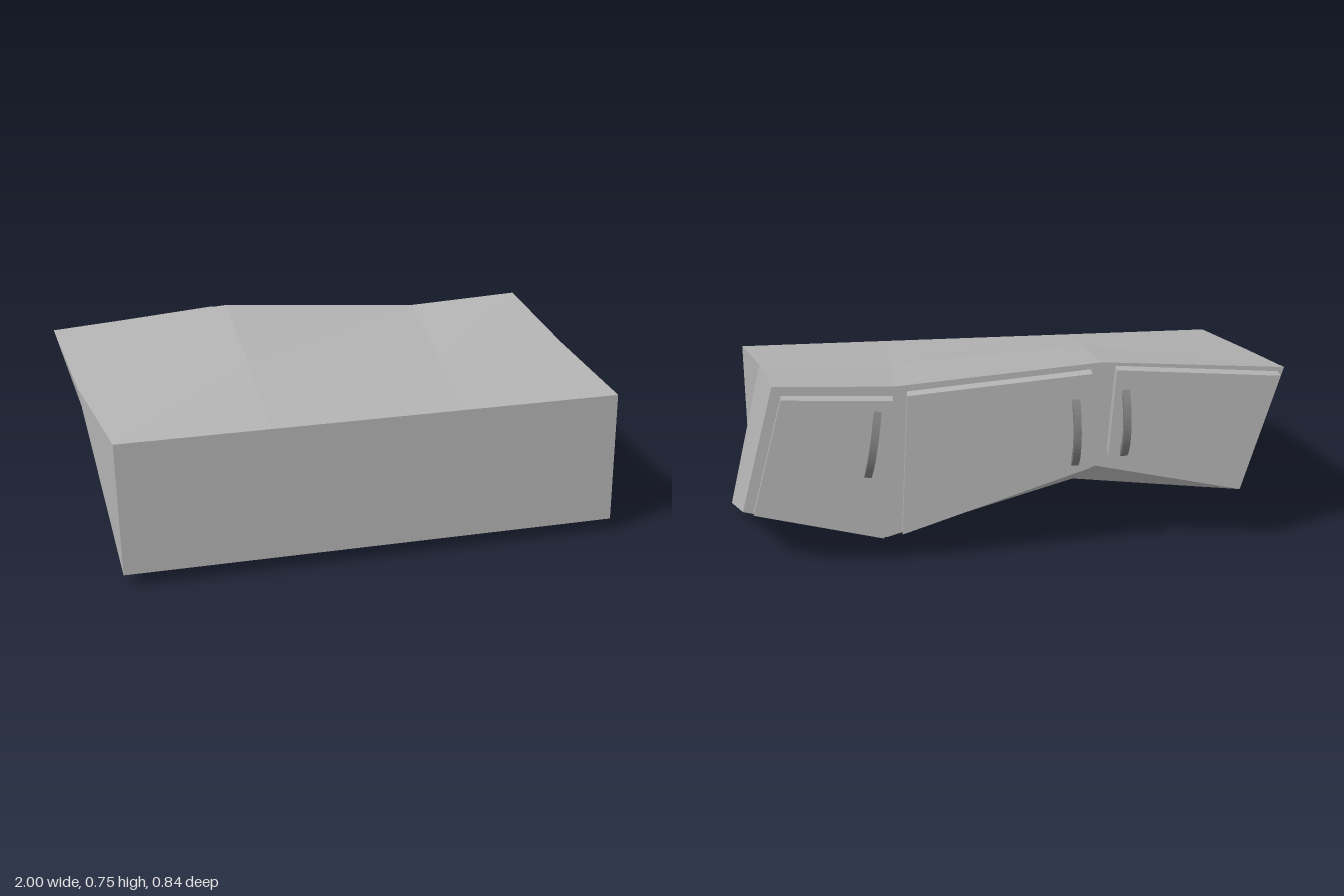
import * as THREE from 'three';

const grey = new THREE.MeshStandardMaterial({ color: 0xb2b2b2 });
grey.name = 'cabinet grey';
const darkGrey = new THREE.MeshStandardMaterial({ color: 0x7c7c7c });
darkGrey.name = 'handle grey';

// Warped case: rows of top and bottom points at front, middle and back depth
function caseGeometry() {
  const depths = [0.42, 0.05, -0.32];
  const rows = (table) => table.map((row, r) => row.map(([x, y]) => [x, y, depths[r]]));
  const top = rows([
    [[-0.875, 0.55], [-0.33, 0.55], [0.38, 0.55], [0.945, 0.55]],
    [[-0.955, 0.62], [-0.34, 0.655], [0.38, 0.613], [0.86, 0.63]],
    [[-1, 0.705], [-0.35, 0.75], [0.38, 0.688], [0.8, 0.705]],
  ]);
  const bottom = rows([
    [[-0.865, 0.05], [-0.3, 0.05], [0.42, 0.05], [0.95, 0.05]],
    [[-0.815, 0.062], [-0.31, 0.1], [0.42, 0], [1, 0.06]],
    [[-0.873, 0.222], [-0.335, 0.345], [0.42, 0.09], [0.93, 0.22]],
  ]);
  const pos = [];
  const quad = (flip, a, b, c, d) =>
    pos.push(...(flip ? [a, c, b, a, d, c] : [a, b, c, a, c, d]).flat());

  // Top and underside
  for (const [[f, m, b], flip] of [[top, false], [bottom, true]]) {
    for (let i = 0; i < 3; i++) {
      quad(flip, f[i], f[i + 1], m[i + 1], m[i]);
      if (i === 0) quad(flip, m[1], b[1], b[0], m[0]);
      else quad(flip, m[i], m[i + 1], b[i + 1], b[i]);
    }
  }
  // Ends
  for (const [i, flip] of [[3, false], [0, true]])
    for (let r = 0; r < 2; r++)
      quad(flip, bottom[r][i], bottom[r + 1][i], top[r + 1][i], top[r][i]);
  // Flat front and back
  for (const [r, flip] of [[0, false], [2, true]])
    for (let i = 0; i < 3; i++)
      quad(flip, bottom[r][i], bottom[r][i + 1], top[r][i + 1], top[r][i]);

  const geometry = new THREE.BufferGeometry();
  geometry.setAttribute('position', new THREE.Float32BufferAttribute(pos.flat(), 3));
  geometry.computeVertexNormals();
  return geometry;
}

// Skewed four-cornered door slab on the back
function doorGeometry(corners) {
  const shape = new THREE.Shape(corners.map(([x, y]) => new THREE.Vector2(x, y)));
  return new THREE.ExtrudeGeometry(shape, { depth: 0.04, bevelEnabled: false }).translate(0, 0, -0.36);
}

// Bow handle: a slice of a flat ring standing out from the door
function handleGeometry() {
  const offset = 0.11, outer = 0.17, inner = 0.145, width = 0.026;
  const a = Math.acos(offset / outer), b = Math.acos(offset / inner);
  const shape = new THREE.Shape();
  shape.absarc(-offset, 0, outer, -a, a, false);
  shape.absarc(-offset, 0, inner, b, -b, true);
  return new THREE.ExtrudeGeometry(shape, { depth: width, bevelEnabled: false, curveSegments: 8 })
    .translate(0, 0, -width / 2)
    .rotateY(Math.PI / 2);
}

export function createModel() {
  const model = new THREE.Group();
  model.name = 'warpedCabinet';
  const add = (name, geometry, material) => {
    const mesh = new THREE.Mesh(geometry, material);
    mesh.name = name;
    model.add(mesh);
    return mesh;
  };

  add('case', caseGeometry(), grey);

  const units = [
    { side: 'left', door: [[0.43, 0.107], [0.89, 0.225], [0.77, 0.67], [0.385, 0.652]], handle: [0.46, 0.485, 0.17] },
    { side: 'middle', door: [[-0.31, 0.357], [0.365, 0.12], [0.335, 0.668], [-0.31, 0.725]], handle: [-0.255, 0.5, 0] },
    { side: 'right', door: [[-0.865, 0.255], [-0.375, 0.405], [-0.395, 0.735], [-0.978, 0.69]], handle: [-0.43, 0.53, 0] },
  ];
  for (const { side, door, handle: [x, y, tilt] } of units) {
    add(side + 'Door', doorGeometry(door), grey);
    const handle = add(side + 'Handle', handleGeometry(), darkGrey);
    handle.position.set(x, y, -0.36);
    handle.rotation.z = tilt;
  }
  return model;
}
